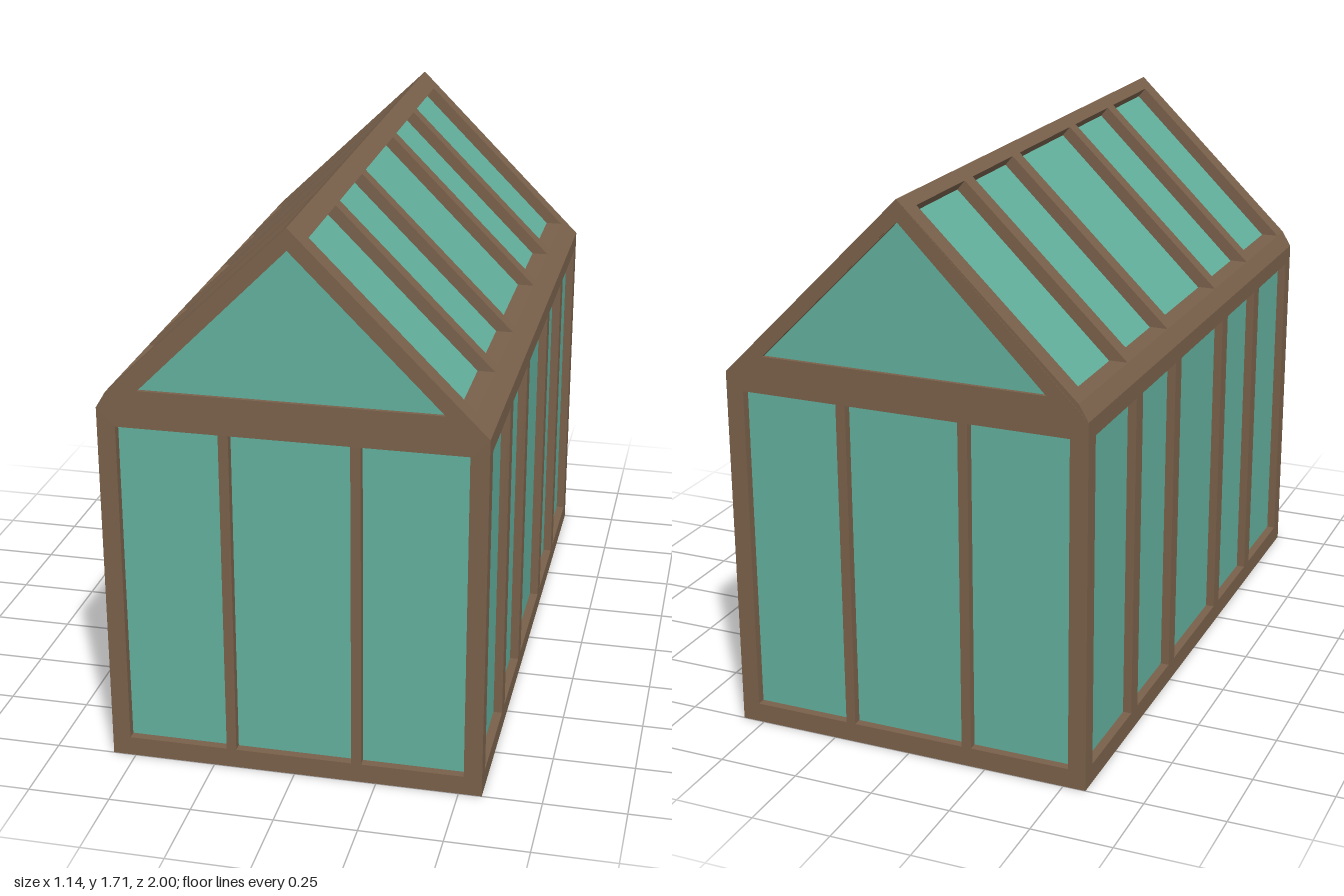
import * as THREE from 'three';

export function createModel() {
  const group = new THREE.Group();
  group.name = 'greenhouse';
  const wood = new THREE.MeshStandardMaterial({ color: 0x7a614b });
  wood.name = 'brown wood';
  const glass = new THREE.MeshStandardMaterial({ color: 0x62b09d });
  glass.name = 'teal glass';

  const W = 0.57, EAVE = 1.14, RIDGE = 1.71, T = 0.055;
  const toShape = (pts) => new THREE.Shape(pts.map(([x, y]) => new THREE.Vector2(x, y)));
  const rect = (x0, x1, y0, y1) => [[x0, y0], [x1, y0], [x1, y1], [x0, y1]];

  // Outline with holes, extruded along z from z0 to z1
  function prism(name, pts, z0, z1, material, holes = [], parent = group) {
    const shape = toShape(pts);
    holes.forEach((h) => shape.holes.push(toShape(h)));
    const geo = new THREE.ExtrudeGeometry(shape, { depth: z1 - z0, bevelEnabled: false });
    geo.translate(0, 0, z0);
    const mesh = new THREE.Mesh(geo, material);
    mesh.name = name;
    parent.add(mesh);
    return mesh;
  }

  // Gable walls: three windows below a triangular light
  const gable = [[-W, 0], [W, 0], [W, EAVE], [0, RIDGE], [-W, EAVE]];
  const triangle = [[-0.445, 1.2], [0.445, 1.2], [0, 1.65]];
  const gableHoles = [[-0.515, -0.21], [-0.18, 0.175], [0.205, 0.515]]
    .map(([a, b]) => rect(a, b, 0.06, 1.085));
  for (const end of ['front', 'back']) {
    const wall = new THREE.Group();
    wall.name = end + 'Wall';
    prism('gableFrame', gable, 1 - T, 1, wood, [...gableHoles, triangle], wall);
    prism('gableWindows', rect(-0.53, 0.53, 0.04, 1.1), 0.967, 0.973, glass, [], wall);
    prism('gableLight', triangle, 0.982, 0.988, glass, [], wall);
    if (end === 'back') wall.rotation.y = Math.PI;
    group.add(wall);
  }

  // Side walls: five windows each, the middle one wider
  const bays = [[-0.945, -0.615], [-0.56, -0.265], [-0.21, 0.205], [0.26, 0.56], [0.615, 0.945]];
  for (const side of [1, -1]) {
    const wall = new THREE.Group();
    wall.name = side > 0 ? 'leftWall' : 'rightWall';
    prism('sideFrame', rect(-0.99, 0.99, 0, EAVE), W - T, W, wood,
      bays.map(([a, b]) => rect(a, b, 0.06, 1.085)), wall);
    prism('sideWindows', rect(-0.95, 0.95, 0.04, 1.1), W - 0.033, W - 0.027, glass, [], wall);
    wall.rotation.y = side * Math.PI / 2;
    group.add(wall);
  }

  // Roof: eaves, ridge, rafters and sloping glass
  const L = 0.999;
  prism('leftEave', [[W, EAVE], [0.52, 1.19], [0.46, 1.19], [0.505, EAVE]], -L, L, wood);
  prism('rightEave', [[-W, EAVE], [-0.54, 1.19], [-0.485, 1.19], [-0.505, EAVE]], -L, L, wood);
  prism('ridgeBeam', [[0, RIDGE], [-0.03, 1.681], [0, 1.645], [0.045, 1.665]], -L, L, wood);
  const leftRafter = [[W, EAVE], [0, RIDGE], [0, 1.645], [0.505, EAVE]];
  const rightRafter = [[-W, EAVE], [-0.54, 1.19], [0, RIDGE], [0, 1.645], [-0.505, EAVE]];
  for (const [a, b] of [[-L, -0.935], [-0.615, -0.56], [-0.265, -0.21],
    [0.205, 0.255], [0.555, 0.607], [0.932, L]]) {
    prism('leftRafter', leftRafter, a, b, wood);
    prism('rightRafter', rightRafter, a, b, wood);
  }
  prism('leftRoofGlass', [[0, 1.65], [0, 1.658], [0.478, 1.18], [0.47, 1.18]], -0.94, 0.94, glass);
  prism('rightRoofGlass', [[0, 1.65], [0, 1.658], [-0.492, 1.18], [-0.484, 1.18]], -0.94, 0.94, glass);

  return group;
}
